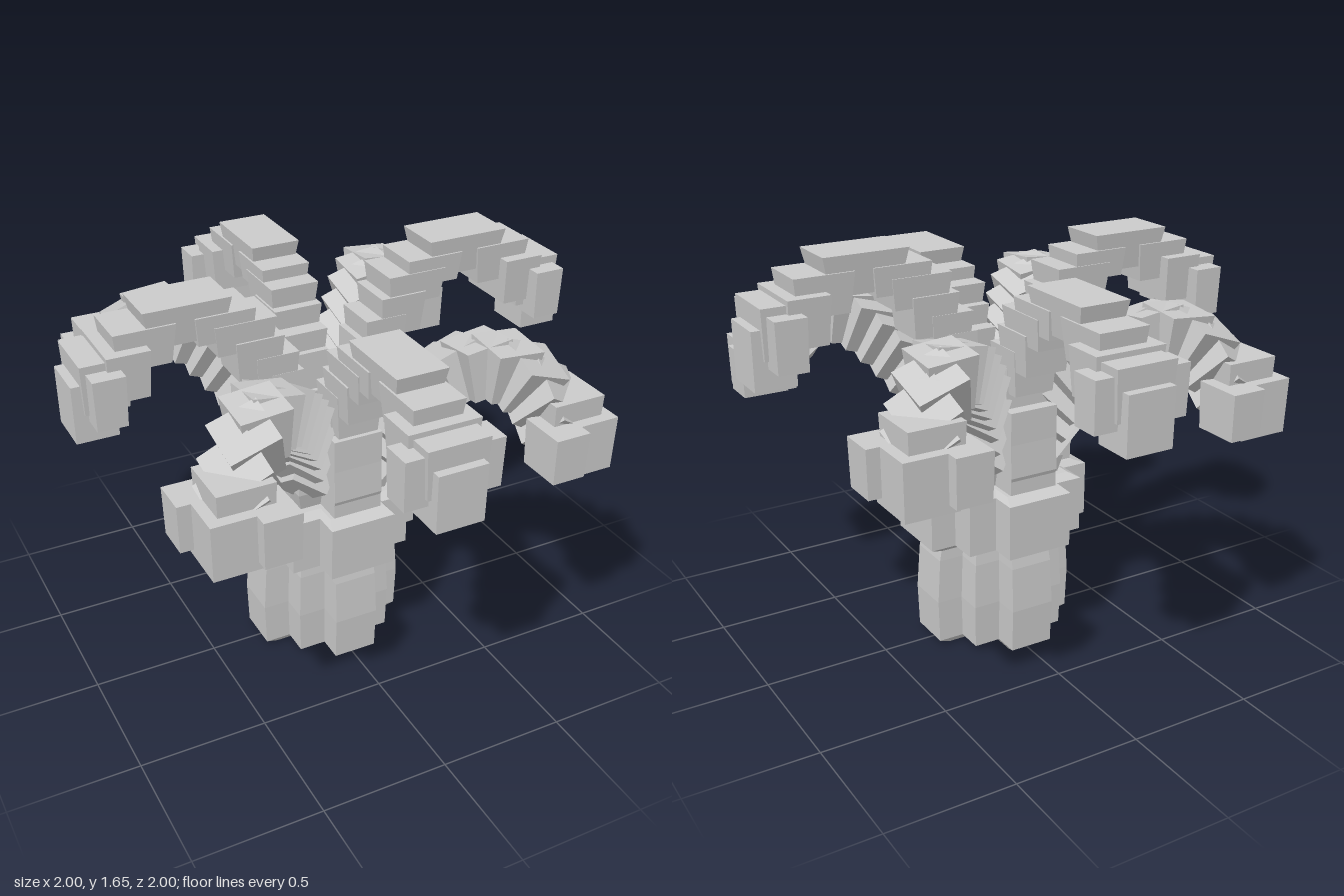
import * as THREE from 'three';

const material = new THREE.MeshStandardMaterial({ color: 0xcccccc, flatShading: true });

function addMesh(parent, name, geometry) {
  const mesh = new THREE.Mesh(geometry, material);
  mesh.name = name;
  parent.add(mesh);
  return mesh;
}

// Block between two corners; its bottom face is shrunk to make a wedge
function block(parent, name, [x0, x1], [y0, y1], [z0, z1], shrink = 1) {
  const g = new THREE.BoxGeometry(x1 - x0, y1 - y0, z1 - z0);
  const p = g.attributes.position;
  for (let i = 0; i < p.count; i++) {
    if (p.getY(i) < 0) p.setXYZ(i, p.getX(i) * shrink, p.getY(i), p.getZ(i) * shrink);
  }
  g.computeVertexNormals();
  const mesh = addMesh(parent, name, g);
  mesh.position.set((x0 + x1) / 2, (y0 + y1) / 2, (z0 + z1) / 2);
  return mesh;
}

// Stair-stepped round column; profile is a list of [height, scale]
function steppedColumn(parent, name, [a, b, c], profile) {
  const points = [];
  for (let k = 0; k < 4; k++) {
    for (const [x, y] of [[c, -a], [c, a], [b, a], [b, b], [a, b]]) {
      points.push(new THREE.Vector2(x, y).rotateAround(new THREE.Vector2(), k * Math.PI / 2));
    }
  }
  const steps = profile.length - 1;
  const g = new THREE.ExtrudeGeometry(new THREE.Shape(points), { depth: 1, steps, bevelEnabled: false });
  g.rotateX(-Math.PI / 2);
  const p = g.attributes.position;
  for (let i = 0; i < p.count; i++) {
    const [y, s] = profile[Math.round(p.getY(i) * steps)];
    p.setXYZ(i, p.getX(i) * s, y, p.getZ(i) * s);
  }
  g.computeVertexNormals();
  addMesh(parent, name, g);
}

// Broad arm along +x, with everything above the trunk lowered by drop
function mainArm(drop) {
  const arm = new THREE.Group();
  arm.name = 'mainArm';
  const part = (name, r, [y0, y1], w, shrink) =>
    block(arm, name, r, [y0 - drop, y1 - drop], [-w, w], shrink);
  block(arm, 'armRoot', [0.1, 0.3], [0.68, 1.03], [-0.1, 0.1], 1);
  block(arm, 'armRiser', [0.12, 0.25], [0.95, 1.3 - drop], [-0.09, 0.09], 1);
  part('armStep', [0.14, 0.31], [1.2, 1.38], 0.095, 0.85);
  part('armStep', [0.2, 0.39], [1.3, 1.46], 0.1, 0.85);
  part('armStep', [0.23, 0.47], [1.42, 1.54], 0.1, 0.88);
  part('armStep', [0.31, 0.54], [1.48, 1.59], 0.1, 0.9);
  part('armTop', [0.4, 0.73], [1.5, 1.65], 0.1, 0.8);
  part('armStep', [0.61, 0.84], [1.44, 1.59], 0.1, 0.85);
  part('armStep', [0.72, 0.88], [1.35, 1.53], 0.14, 0.9);
  part('tipTop', [0.79, 0.97], [1.32, 1.51], 0.12, 0.9);
  part('tipFront', [0.84, 1.0], [1.21, 1.43], 0.095, 0.98);
  for (const s of [-1, 1]) {
    const z = [s * 0.135 - 0.055, s * 0.135 + 0.055];
    block(arm, 'tipSide', [0.83, 0.95], [1.29 - drop, 1.48 - drop], z, 0.92);
  }
  return arm;
}

// Slim arm of overlapping cubes, arching out along the x = z diagonal
function diagonalArm() {
  const arm = new THREE.Group();
  arm.name = 'diagonalArm';
  const curve = new THREE.CatmullRomCurve3([
    [0.2, 0.86], [0.28, 1.03], [0.42, 1.18], [0.56, 1.275], [0.7, 1.29], [0.81, 1.22], [0.87, 1.12],
  ].map(([r, y]) => new THREE.Vector3(r, y, 0)));
  const chain = new THREE.Group();
  chain.name = 'armChain';
  chain.rotation.y = -Math.PI / 4;
  arm.add(chain);
  const count = 12;
  for (let i = 0; i < count; i++) {
    const t = i / (count - 1);
    const tangent = curve.getTangentAt(t);
    const h = 0.095;
    const cube = block(chain, 'armSegment', [-h, h], [-0.1, 0.1], [-h, h], 0.82);
    cube.position.copy(curve.getPointAt(t));
    // Cubes stand on edge to the arm and lean with the arch
    cube.rotation.set(0, Math.PI / 4, Math.atan2(tangent.y, tangent.x) * 0.8, 'ZYX');
  }
  // Drooping cluster at the end
  block(arm, 'tipTop', [0.54, 0.75], [1.1, 1.24], [0.54, 0.75], 0.95);
  block(arm, 'tipCorner', [0.58, 0.79], [0.95, 1.16], [0.58, 0.79], 0.96);
  block(arm, 'tipSide', [0.65, 0.84], [0.98, 1.16], [0.49, 0.63], 0.95);
  block(arm, 'tipSide', [0.49, 0.63], [0.98, 1.16], [0.65, 0.84], 0.95);
  return arm;
}

export function createModel() {
  const model = new THREE.Group();
  model.name = 'branchingTrunk';

  // Trunk with a wide collar
  steppedColumn(model, 'lowerTrunk', [0.09, 0.2, 0.305],
    [[0, 0.8], [0.025, 0.98], [0.2, 1], [0.38, 0.96], [0.47, 0.9]]);
  steppedColumn(model, 'collar', [0.135, 0.25, 0.352],
    [[0.44, 0.85], [0.46, 1], [0.68, 1], [0.7, 0.85]]);
  steppedColumn(model, 'upperTrunk', [0.1, 0.2, 0.305],
    [[0.68, 0.9], [0.77, 1], [0.93, 0.98], [0.99, 0.85]]);

  // Broad arms at four heights: +x, -z, -x, +z
  [0, 0.11, 0.055, 0.16].forEach((drop, k) => {
    const arm = mainArm(drop);
    arm.rotation.y = k * Math.PI / 2;
    model.add(arm);
  });

  // Slim arms between them
  for (let k = 0; k < 4; k++) {
    const arm = diagonalArm();
    arm.rotation.y = k * Math.PI / 2;
    model.add(arm);
  }
  return model;
}
